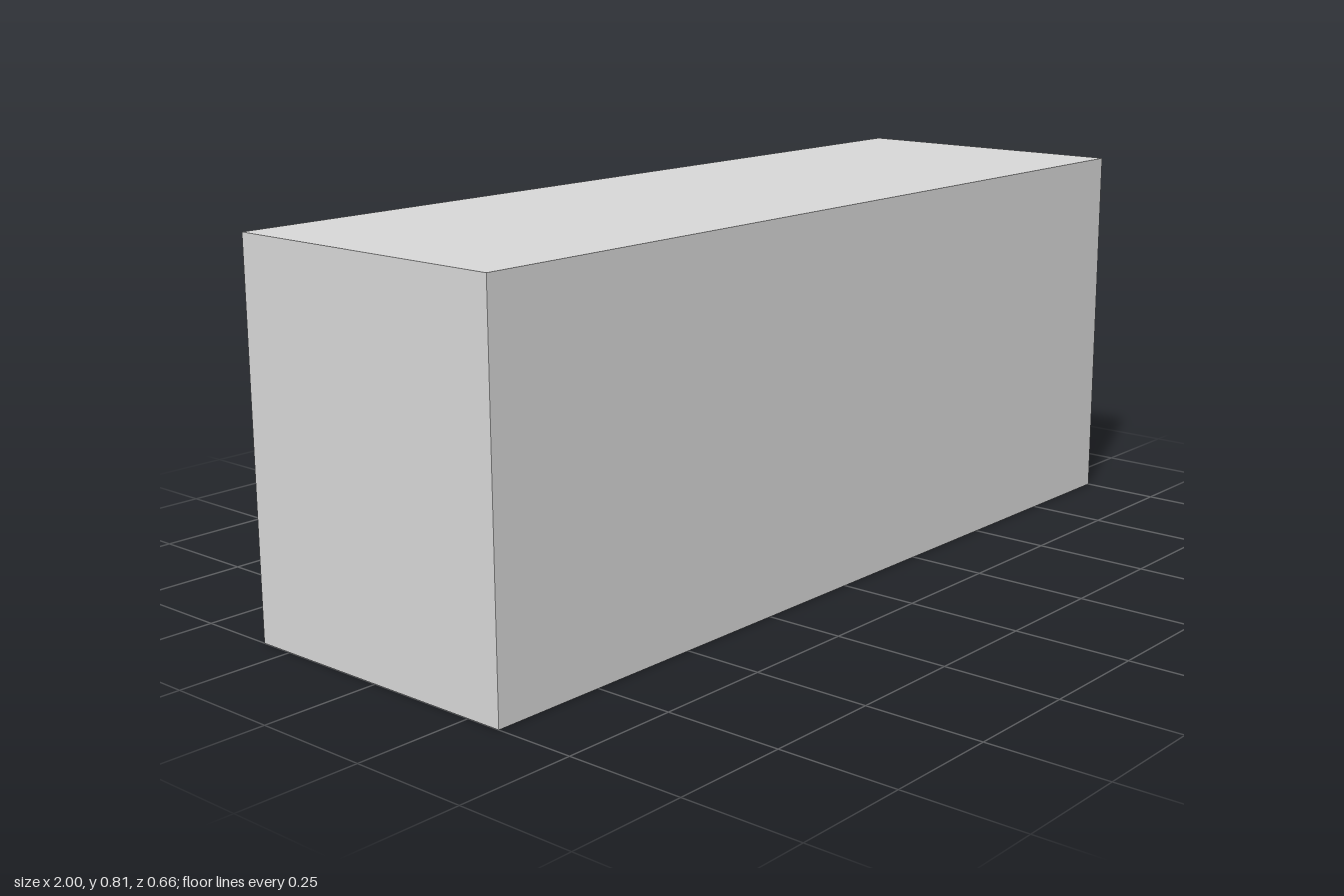
import * as THREE from 'three';

const L = 2, H = 0.807, W = 0.656; // outer size
const WALL = 0.101, ROOF = 0.1;
const POST_RADIUS = 0.132, POST_SPACING = 0.672;

const rectangle = (PathType, w, d) => new PathType([
  new THREE.Vector2(-w / 2, -d / 2), new THREE.Vector2(w / 2, -d / 2),
  new THREE.Vector2(w / 2, d / 2), new THREE.Vector2(-w / 2, d / 2),
]);

export function createModel() {
  const model = new THREE.Group();
  model.name = 'hollowBlock';
  const grey = new THREE.MeshStandardMaterial({ color: 0xd7d7d7 });
  grey.name = 'lightGrey';
  grey.flatShading = true;

  const add = (name, geometry, x, y) => {
    const mesh = new THREE.Mesh(geometry, grey);
    mesh.name = name;
    mesh.position.set(x, y, 0);
    model.add(mesh);
  };

  // Four walls around a rectangular cavity
  const outline = rectangle(THREE.Shape, L, W);
  outline.holes.push(rectangle(THREE.Path, L - 2 * WALL, W - 2 * WALL));
  const walls = new THREE.ExtrudeGeometry(outline, { depth: H, bevelEnabled: false });
  walls.rotateX(-Math.PI / 2);
  add('walls', walls, 0, 0);

  // Roof slab fills the top of the cavity flush with the walls
  add('roof', new THREE.BoxGeometry(L - 2 * WALL, ROOF, W - 2 * WALL), 0, H - ROOF / 2);

  // Two eight-sided posts hang from the roof down to the base
  const postHeight = H - ROOF;
  for (const side of [-1, 1]) {
    const post = new THREE.CylinderGeometry(POST_RADIUS, POST_RADIUS, postHeight, 8);
    post.rotateY(Math.PI / 8);
    add(side > 0 ? 'leftPost' : 'rightPost', post, side * POST_SPACING / 2, postHeight / 2);
  }
  return model;
}
